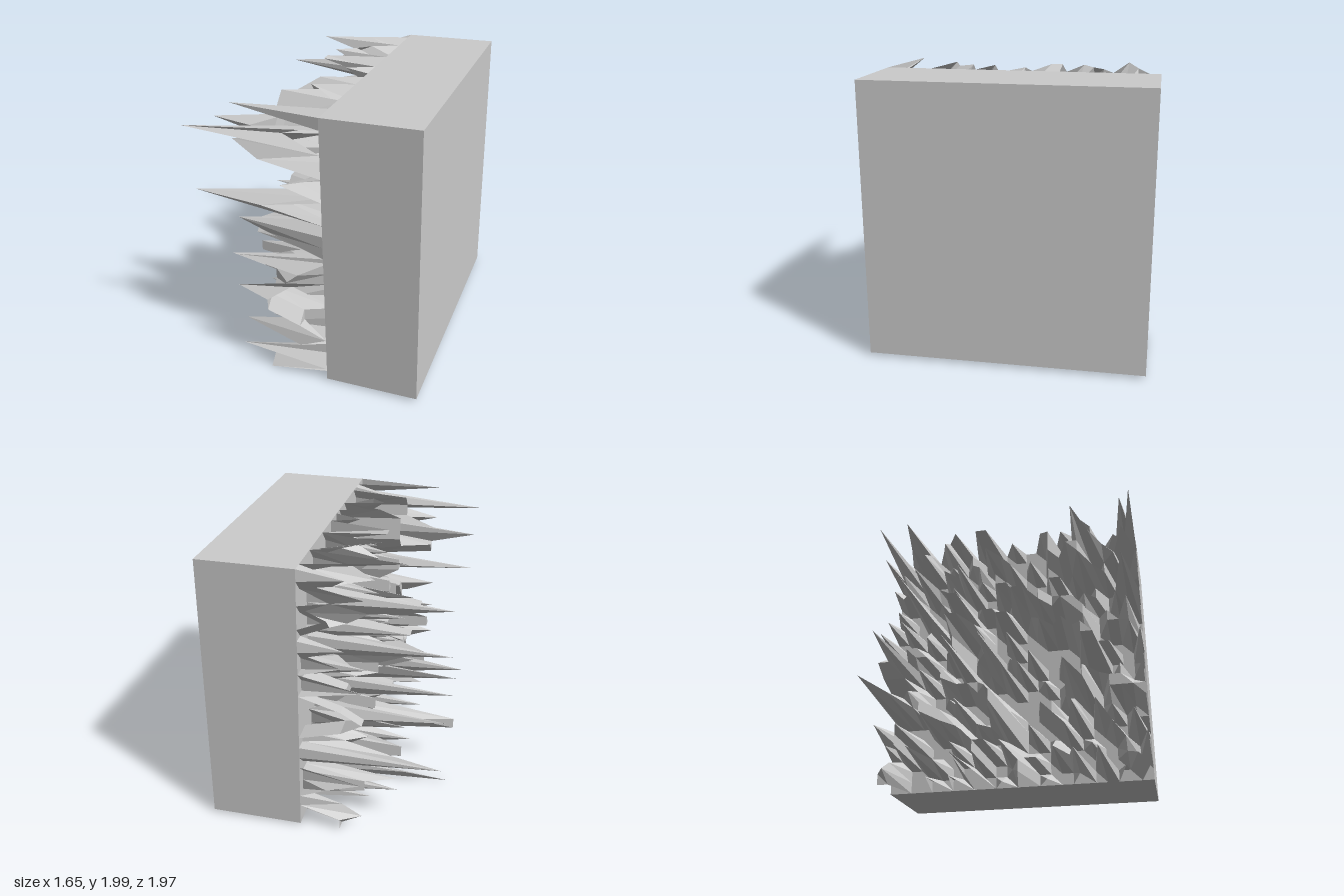
import * as THREE from 'three';

const CELLS = 24, SIZE = 1.97, DEPTH = 0.655, TALL = 0.965;

// Spikes with a fixed place, as [row from the bottom, column from the back]
const TALLEST = [
  [22, 24], [21, 19], [21, 2], [16, 23], [16, 4], [11, 2], [10, 11],
  [10, 8], [7, 18], [7, 1], [5, 12], [4, 12], [0, 9],
];
const MEDIUM = [[24, 23], [24, 3], [11, 24], [8, 24], [4, 23], [2, 24], [1, 18]];

// Rows and columns that hold only short spikes
const SHORT_ROWS = [3, 13, 15, 17, 18, 23];
const SHORT_COLUMNS = [6, 15, 16, 17, 21, 22];

// Seeded random numbers in 0..1
function seeded(seed) {
  return () => {
    seed = (Math.imul(seed, 1664525) + 1013904223) >>> 0;
    return seed / 4294967296;
  };
}

// Each level is two thirds as tall as the one before
const levelHeight = (level) => TALL * Math.pow(2 / 3, level);

// Spike heights on a square grid: scattered ones first, then the fixed ones
function spikeHeights() {
  const random = seeded(77);
  const heights = [];
  for (let row = 0; row <= CELLS; row++) {
    heights.push([]);
    for (let col = 0; col <= CELLS; col++) {
      const r = random();
      const onBorder = row % CELLS === 0 || col % CELLS === 0;
      const short = onBorder || SHORT_ROWS.includes(row) || SHORT_COLUMNS.includes(col);
      let height = 0;
      if (r < 0.12) height = levelHeight(short ? 2 : 1);
      else if (r < 0.25) height = levelHeight(2);
      else if (r < 0.38) height = levelHeight(3);
      else if (r < 0.48) height = levelHeight(4);
      heights[row].push(height);
    }
  }
  for (const [row, col] of MEDIUM) heights[row][col] = levelHeight(1);
  for (const [row, col] of TALLEST) heights[row][col] = TALL;
  return heights;
}

// Grid surface whose vertices are pulled out along -x
function spikeGeometry() {
  const heights = spikeHeights();
  const step = SIZE / CELLS;
  const positions = [], index = [];
  for (let row = 0; row <= CELLS; row++) {
    for (let col = 0; col <= CELLS; col++) {
      positions.push(-heights[row][col], row * step, col * step - SIZE / 2);
      if (row < CELLS && col < CELLS) {
        const a = row * (CELLS + 1) + col, b = a + 1;
        const c = a + CELLS + 1, d = c + 1;
        index.push(a, b, c, b, d, c);
      }
    }
  }
  const geometry = new THREE.BufferGeometry();
  geometry.setAttribute('position', new THREE.Float32BufferAttribute(positions, 3));
  geometry.setIndex(index);
  const flat = geometry.toNonIndexed();
  flat.computeVertexNormals();
  return flat;
}

export function createModel() {
  const group = new THREE.Group();
  group.name = 'spikedSlab';

  // Everything leans slightly about the lower spiked edge
  const leaning = new THREE.Group();
  leaning.name = 'leaningSlab';
  leaning.position.set(0.171, 0.02, 0);
  leaning.rotation.z = 0.0148;
  group.add(leaning);

  // Plain solid slab
  const slab = new THREE.Mesh(
    new THREE.BoxGeometry(DEPTH, SIZE, SIZE),
    new THREE.MeshStandardMaterial({ color: 0xcccccc, flatShading: true })
  );
  slab.name = 'slab';
  slab.position.set(DEPTH / 2, SIZE / 2, 0);
  leaning.add(slab);

  // Bed of spikes on the -x face, open along its border
  const spikes = new THREE.Mesh(
    spikeGeometry(),
    new THREE.MeshStandardMaterial({ color: 0xcccccc, flatShading: true, side: THREE.DoubleSide })
  );
  spikes.name = 'spikes';
  leaning.add(spikes);

  return group;
}
